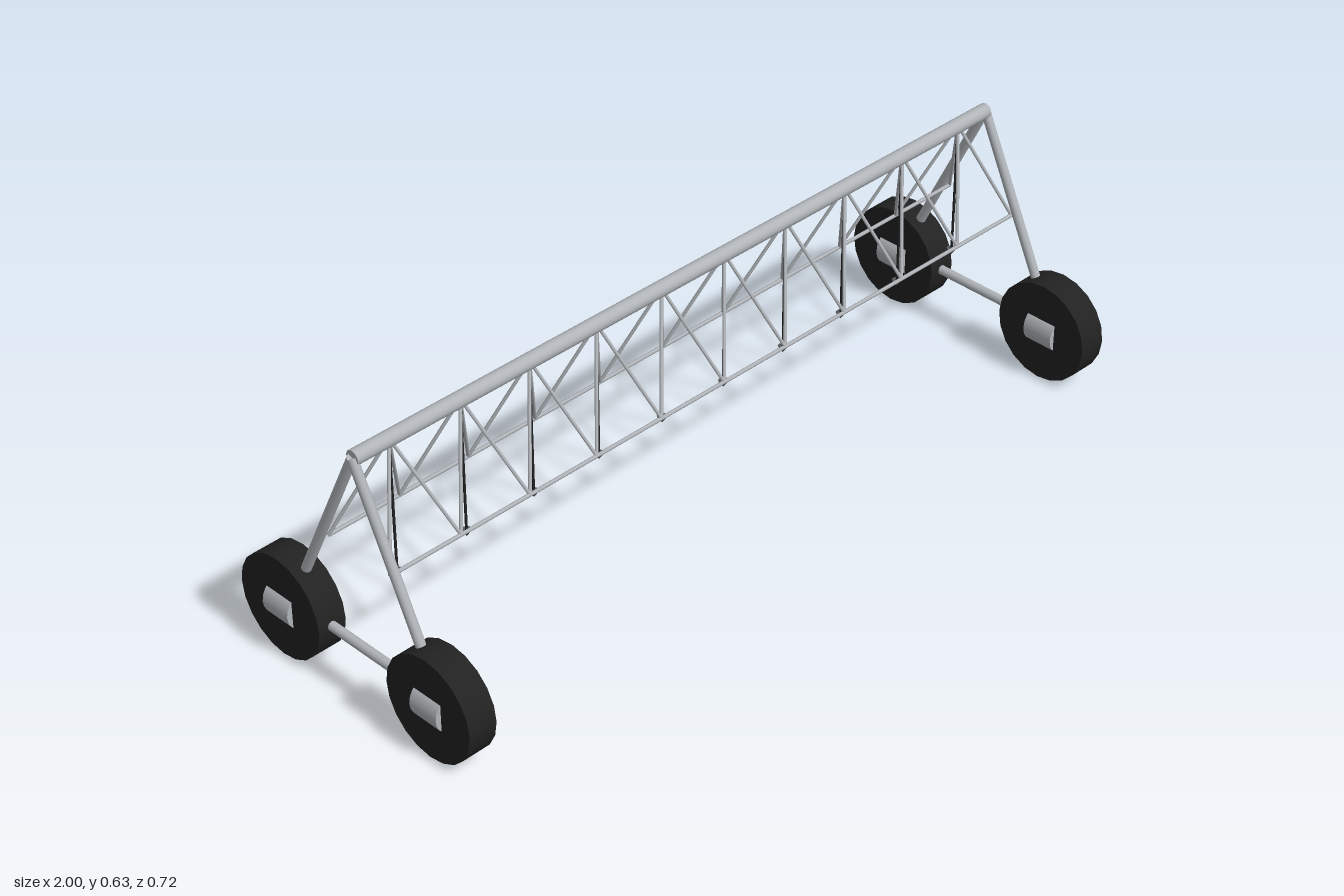
import * as THREE from 'three';

const steel = new THREE.MeshStandardMaterial({ name: 'galvanised steel', color: 0xb0b4b8 });
const rubber = new THREE.MeshStandardMaterial({ name: 'black rubber', color: 0x222222 });
const nozzleGrey = new THREE.MeshStandardMaterial({ name: 'nozzle grey', color: 0x555759 });

const END_X = 0.95, PIPE_Y = 0.612, AXLE_Y = 0.126, WHEEL_Z = 0.232;
const ROD_Y = 0.37, ROD_Z = 0.095, BAYS = 10;

// Round bar between two points
function bar(name, a, b, radius, material, sides = 8) {
  const from = new THREE.Vector3(...a), to = new THREE.Vector3(...b);
  const dir = to.clone().sub(from);
  const mesh = new THREE.Mesh(new THREE.CylinderGeometry(radius, radius, dir.length(), sides), material);
  mesh.name = name;
  mesh.position.copy(from).add(to).multiplyScalar(0.5);
  mesh.quaternion.setFromUnitVectors(new THREE.Vector3(0, 1, 0), dir.normalize());
  return mesh;
}

// A-frame tower with two wheels and cross-mounted gearbox drums
function tower(x) {
  const group = new THREE.Group();
  group.name = 'wheelTower';
  for (const s of [-1, 1]) {
    const z = s * WHEEL_Z;
    group.add(bar('towerLeg', [x, PIPE_Y, 0], [x, AXLE_Y, z], 0.0115, steel, 12));
    const wheel = new THREE.Mesh(new THREE.CylinderGeometry(0.126, 0.126, 0.072, 20), rubber);
    wheel.name = 'wheel';
    wheel.rotation.z = Math.PI / 2;
    wheel.position.set(x, AXLE_Y, z);
    group.add(wheel);
    group.add(bar('hubDrum', [x, AXLE_Y, z - 0.04], [x, AXLE_Y, z + 0.04], 0.05, steel, 20));
  }
  group.add(bar('baseBeam', [x, AXLE_Y, -WHEEL_Z], [x, AXLE_Y, WHEEL_Z], 0.0115, steel, 12));
  return group;
}

// Hanging hose with a cone nozzle at its foot
function sprinkler(x) {
  const group = new THREE.Group();
  group.name = 'sprinkler';
  group.add(bar('dropHose', [x, PIPE_Y, 0], [x, 0.275, 0], 0.003, rubber));
  const nozzle = new THREE.Mesh(new THREE.ConeGeometry(0.012, 0.017, 10), nozzleGrey);
  nozzle.name = 'nozzle';
  nozzle.rotation.x = Math.PI;
  nozzle.position.set(x, 0.2715, 0);
  group.add(nozzle);
  return group;
}

export function createModel() {
  const model = new THREE.Group();
  model.name = 'irrigationSpan';

  model.add(bar('mainPipe', [-END_X, PIPE_Y, 0], [END_X, PIPE_Y, 0], 0.018, steel, 16));
  model.add(tower(-END_X), tower(END_X));

  // Two inclined truss faces under the pipe
  const truss = new THREE.Group();
  truss.name = 'truss';
  const bay = (2 * END_X) / BAYS;
  for (const s of [-1, 1]) {
    const z = s * ROD_Z;
    truss.add(bar('lowerRod', [-END_X, ROD_Y, z], [END_X, ROD_Y, z], 0.0045, steel));
    for (let i = 0; i < BAYS; i++) {
      const x0 = -END_X + i * bay, top = [x0 + bay / 2, PIPE_Y, 0];
      truss.add(bar('trussStrut', [x0, ROD_Y, z], top, 0.004, steel));
      truss.add(bar('trussStrut', top, [x0 + bay, ROD_Y, z], 0.004, steel));
    }
  }
  model.add(truss);

  for (let i = 0; i < BAYS; i++) model.add(sprinkler(-END_X + (i + 0.5) * bay));
  return model;
}
